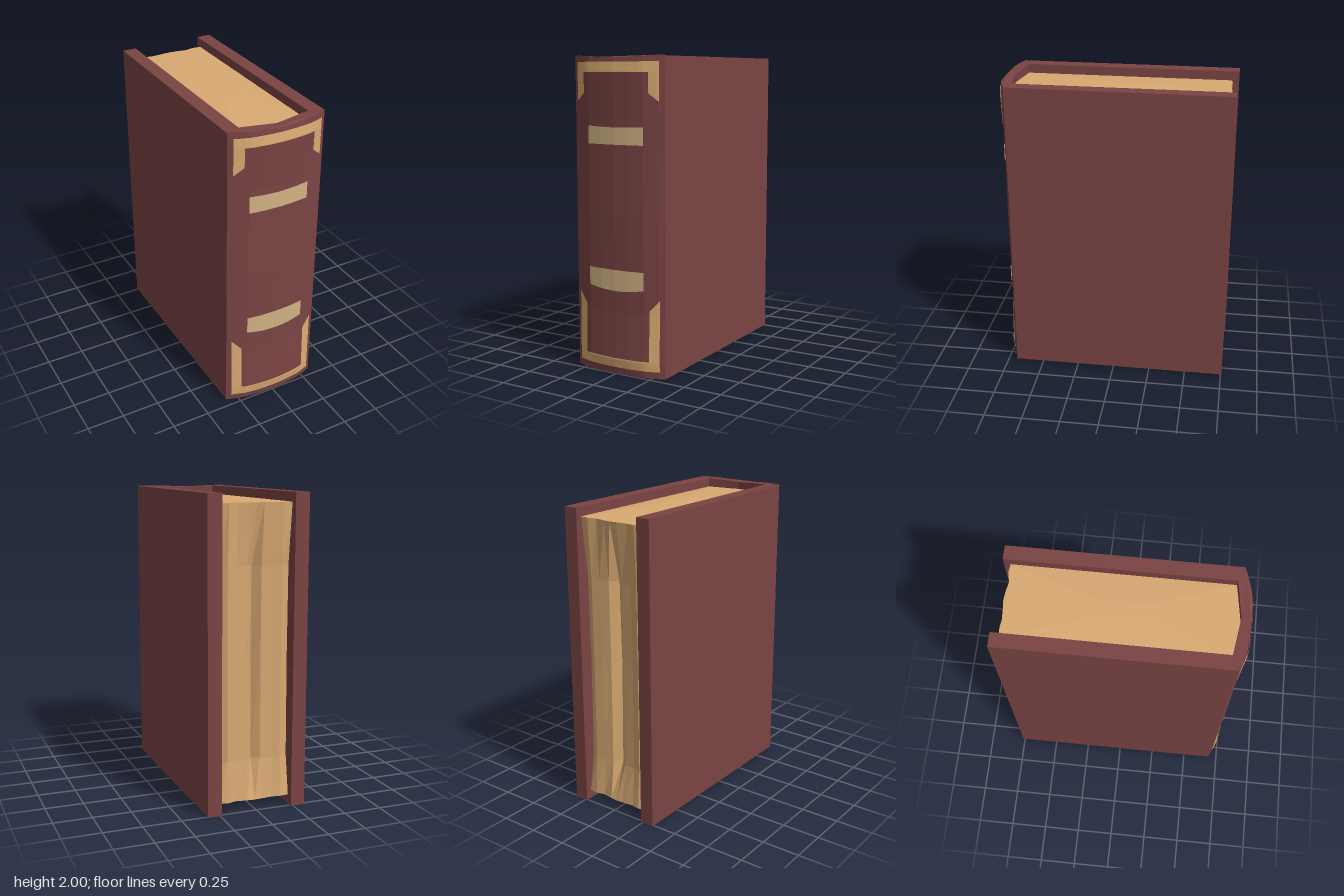
import * as THREE from 'three';

const material = (name, color, extra = {}) => {
  const m = new THREE.MeshStandardMaterial({ color, flatShading: true, ...extra });
  m.name = name;
  return m;
};
const lerp = THREE.MathUtils.lerp;

// Piecewise linear lookup through [key, value] pairs
function sample(pairs, k) {
  for (let i = 1; i < pairs.length; i++) {
    const [a, va] = pairs[i - 1], [b, vb] = pairs[i];
    if (k <= b) return lerp(va, vb, (k - a) / (b - a));
  }
  return pairs[pairs.length - 1][1];
}

// Closed solid through stacked loops of [x, y, z], counterclockwise from above
function loft(loops) {
  const n = loops[0].length, index = [];
  for (let r = 0; r < loops.length - 1; r++) {
    for (let i = 0; i < n; i++) {
      const j = (i + 1) % n, a = r * n + i, b = r * n + j;
      index.push(a, b, b + n, a, b + n, a + n);
    }
  }
  const cap = (r, flip) => {
    const flat = loops[r].map(([x, , z]) => new THREE.Vector2(x, -z));
    for (const [a, b, c] of THREE.ShapeUtils.triangulateShape(flat, [])) {
      index.push(r * n + a, r * n + (flip ? c : b), r * n + (flip ? b : c));
    }
  };
  cap(0, true);
  cap(loops.length - 1, false);
  return surface(loops.flat(2), index);
}

function surface(position, index) {
  const g = new THREE.BufferGeometry();
  g.setAttribute('position', new THREE.Float32BufferAttribute(position, 3));
  g.setIndex(index);
  g.computeVertexNormals();
  return g;
}

// Bulged, slightly uneven front of the spine
const CURVE = [[0, 1], [0.1, 0.93], [0.2, 0.74], [0.29, 0.28], [0.33, 0]];
const BULGE = [[0, 0.055], [0.1, 0.073], [0.4, 0.058], [1, 0.064], [1.6, 0.057], [1.9, 0.07], [2, 0.06]];
const spineZ = (x, y) => 0.69 + sample(CURVE, Math.abs(x)) * sample(BULGE, y);

// Thin patch following the spine; the lower and upper edges are functions of x
function spinePatch(x0, x1, low, high, nx = 16, ny = 12) {
  const pos = [], index = [];
  for (let i = 0; i <= nx; i++) {
    const x = lerp(x0, x1, i / nx);
    for (let j = 0; j <= ny; j++) {
      const y = lerp(low(x), high(x), j / ny);
      pos.push(x, y, spineZ(x, y) + 0.005);
    }
  }
  for (let i = 0; i < nx; i++) {
    for (let j = 0; j < ny; j++) {
      const a = i * (ny + 1) + j, b = a + ny + 1;
      index.push(a, b, b + 1, a, b + 1, a + 1);
    }
  }
  return surface(pos, index);
}

export function createModel() {
  const book = new THREE.Group();
  book.name = 'book';
  const leather = material('leather', 0x7b4444);
  const paper = material('paper', 0xd9aa73);
  const gilt = material('gilt', 0xdcad74, { side: THREE.DoubleSide });
  const label = material('label', 0xd2b384, { side: THREE.DoubleSide });

  const add = (name, geometry, mat, parent = book) => {
    const mesh = new THREE.Mesh(geometry, mat);
    mesh.name = name;
    parent.add(mesh);
    return mesh;
  };

  // Boards
  for (const [name, s, back] of [['leftCover', 1, -0.757], ['rightCover', -1, -0.763]]) {
    const board = new THREE.BoxGeometry(0.093, 1.995, 0.69 - back);
    add(name, board, leather).position.set(s * 0.2835, 0.9975, (0.69 + back) / 2);
  }

  // Spine, with a shallow V on its inner side
  const half = CURVE.map(([x]) => x);
  const xs = [...half.slice(1).reverse().map((x) => -x), ...half];
  add('spine', loft(BULGE.map(([y]) => {
    const dip = (x) => (y === 2 ? 2 - 0.015 * (1 - Math.abs(x) / 0.33) : y);
    return [
      ...xs.map((x) => [x, dip(x), spineZ(x, y)]),
      [0.237, dip(0.237), 0.69], [0.237, dip(0.237), 0.655], [0, dip(0), 0.69],
      [-0.237, dip(0.237), 0.655], [-0.237, dip(0.237), 0.69],
    ];
  })), leather);

  // Page block: [x, z at the middle, z at the ends] along the grooved fore edge
  const edge = [
    [0.238, -0.665, -0.715], [0.18, -0.7, -0.722], [0.12, -0.695, -0.708], [0.05, -0.685, -0.72],
    [0, -0.635, -0.725], [-0.05, -0.68, -0.72], [-0.13, -0.69, -0.715], [-0.18, -0.7, -0.722],
    [-0.238, -0.665, -0.715],
  ];
  const pageLoop = (y, flare, scale = 1) => [
    [-0.238, 0.658], [0, 0.692], [0.238, 0.658],
    ...edge.map(([x, mid, end]) => [x, lerp(mid, end, flare)]),
  ].map(([x, z]) => [x * scale, y, z * scale]);
  add('pages', loft([
    pageLoop(0.075, 0.9, 0.25), pageLoop(0.06, 1), pageLoop(0.32, 0.15), pageLoop(1, 0),
    pageLoop(1.55, 0.1), pageLoop(1.935, 1), pageLoop(1.95, 0.9, 0.25),
  ]), paper);

  // Gilt frames at both ends of the spine
  const trim = new THREE.Group();
  trim.name = 'spineTrim';
  book.add(trim);
  const arm = (x) => (Math.abs(x) - 0.237) / 0.063;
  add('lowerTrimBar', spinePatch(-0.237, 0.237, () => 0.045, () => 0.108), gilt, trim);
  add('upperTrimBar', spinePatch(-0.237, 0.237, () => 1.897, () => 1.96), gilt, trim);
  for (const s of [-1, 1]) {
    const x0 = s < 0 ? -0.3 : 0.237, x1 = s < 0 ? -0.237 : 0.3;
    add('lowerTrimArm', spinePatch(x0, x1, () => 0.045, (x) => lerp(0.43, 0.5, arm(x)), 8, 24), gilt, trim);
    add('upperTrimArm', spinePatch(x0, x1, (x) => lerp(1.77, 1.72, arm(x)), () => 1.96, 8, 24), gilt, trim);
  }

  // Label bands
  const sag = (x) => 0.02 * (Math.abs(x) / 0.2) ** 2;
  add('upperLabel', spinePatch(-0.203, 0.203, () => 1.456, (x) => 1.562 + sag(x) * 0.3), label);
  add('lowerLabel', spinePatch(-0.203, 0.203, (x) => 0.538 + sag(x), () => 0.673), label);

  return book;
}
